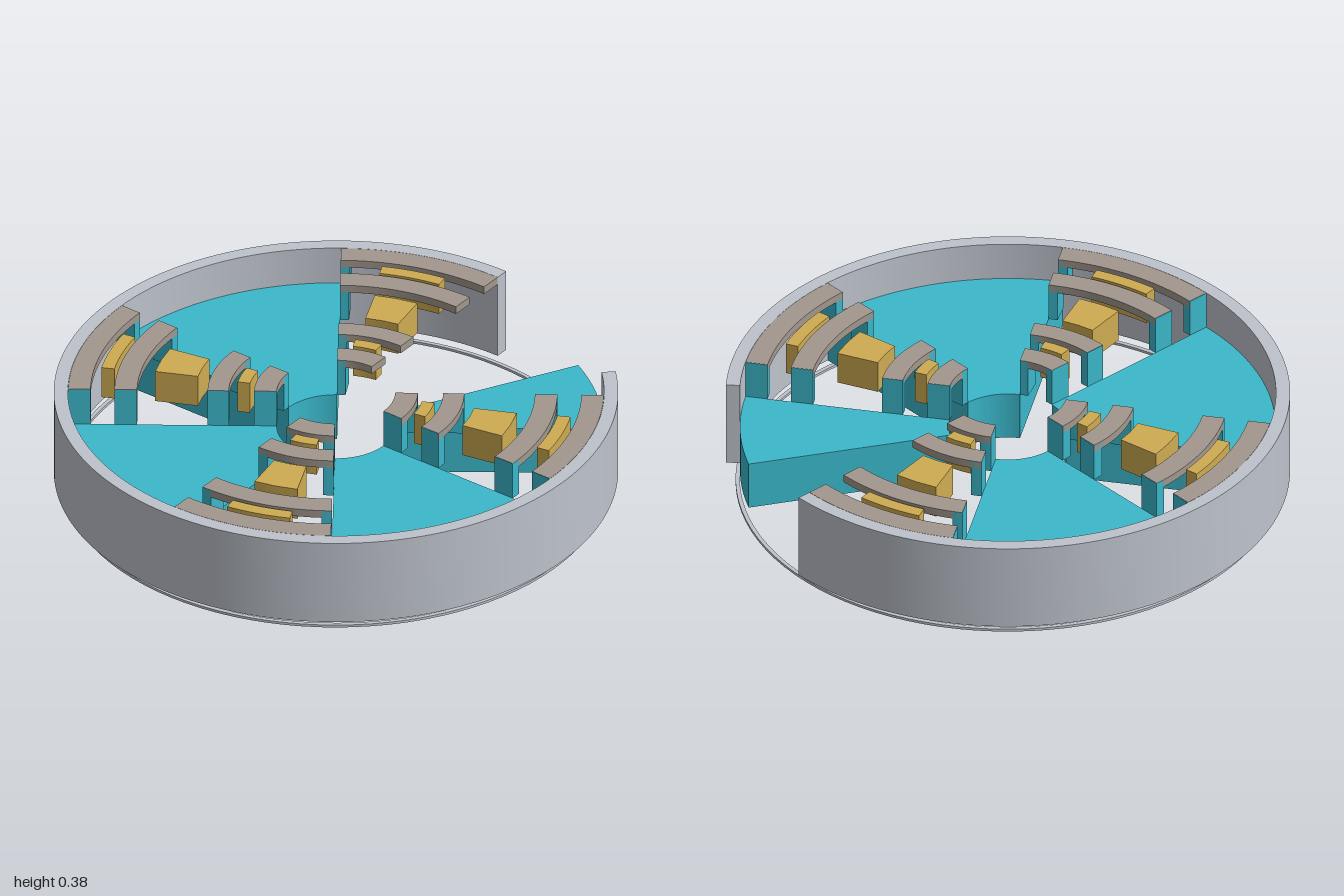
import * as THREE from 'three';
import { toCreasedNormals } from 'three/addons/utils/BufferGeometryUtils.js';

const mat = (name, color) => {
  const m = new THREE.MeshStandardMaterial({ color });
  m.name = name;
  return m;
};

const DEG = Math.PI / 180;

// Annular sector between two radii, two angles (degrees, from +x towards +z) and two heights
function sector(r0, r1, a0, a1, y0, y1, segments) {
  const s = new THREE.Shape();
  s.absarc(0, 0, r1, a0 * DEG, a1 * DEG, false);
  s.absarc(0, 0, r0, a1 * DEG, a0 * DEG, true);
  s.closePath();
  const g = new THREE.ExtrudeGeometry(s, { depth: y1 - y0, bevelEnabled: false, curveSegments: segments });
  g.rotateX(Math.PI / 2);
  g.translate(0, y1, 0);
  return toCreasedNormals(g, 0.4);
}

export function createModel() {
  const root = new THREE.Group();
  root.name = 'segmentedDrum';
  const grey = mat('casingGrey', 0xbec3cc);
  const teal = mat('wedgeTeal', 0x3bb8cb);
  const taupe = mat('arcTaupe', 0xa2978d);
  const gold = mat('blockGold', 0xcfac52);

  const add = (name, geometry, material) => {
    const m = new THREE.Mesh(geometry, material);
    m.name = name;
    root.add(m);
  };

  // Outer casing with an open eighth, and the thin full ring under it
  add('casing', sector(0.95, 1, 45, 360, 0.045, 0.375, 84), grey);
  const loop = [[0.95, 0], [0.965, 0], [0.965, 0.01], [0.95, 0.01], [0.95, 0]];
  const ring = new THREE.LatheGeometry(loop.map(([r, y]) => new THREE.Vector2(r, y)), 96);
  add('baseRing', toCreasedNormals(ring, 0.4), grey);

  const arcs = [[0.21, 0.29], [0.38, 0.455], [0.705, 0.785], [0.87, 0.949]];
  const blocks = [[0.31, 0.355, 8, 6], [0.5, 0.655, 7, 1], [0.80, 0.847, 8, 6]];

  for (let q = 0; q < 4; q++) {
    const start = q * 90;
    const gap = start + 54;
    const end = start + 90;

    // Solid wedge; the first one is cut in half
    add('wedge', sector(0.21, 0.949, q === 0 ? 27.6 : start, gap, 0.045, 0.23, 20), teal);

    // Bridging arcs and the posts that carry them
    for (const [r0, r1] of arcs) {
      add('bridgeArc', sector(r0, r1, gap + 0.1, end - (q === 3 ? 0 : 0.1), 0.345, 0.375, 16), taupe);
      const w = 0.035 / ((r0 + r1) / 2) / DEG;
      add('post', sector(r0, r1, gap, gap + w, 0.23, 0.374, 2), teal);
      // The wedge beyond the last gap is cut away, so that end hangs free
      if (q !== 3) add('post', sector(r0, r1, end - w, end, 0.23, 0.374, 2), teal);
    }

    // Blocks set between the arcs
    for (const [r0, r1, half, seg] of blocks) {
      add('block', sector(r0, r1, gap + 18 - half, gap + 18 + half, 0.25, 0.374, seg), gold);
    }
  }
  return root;
}
